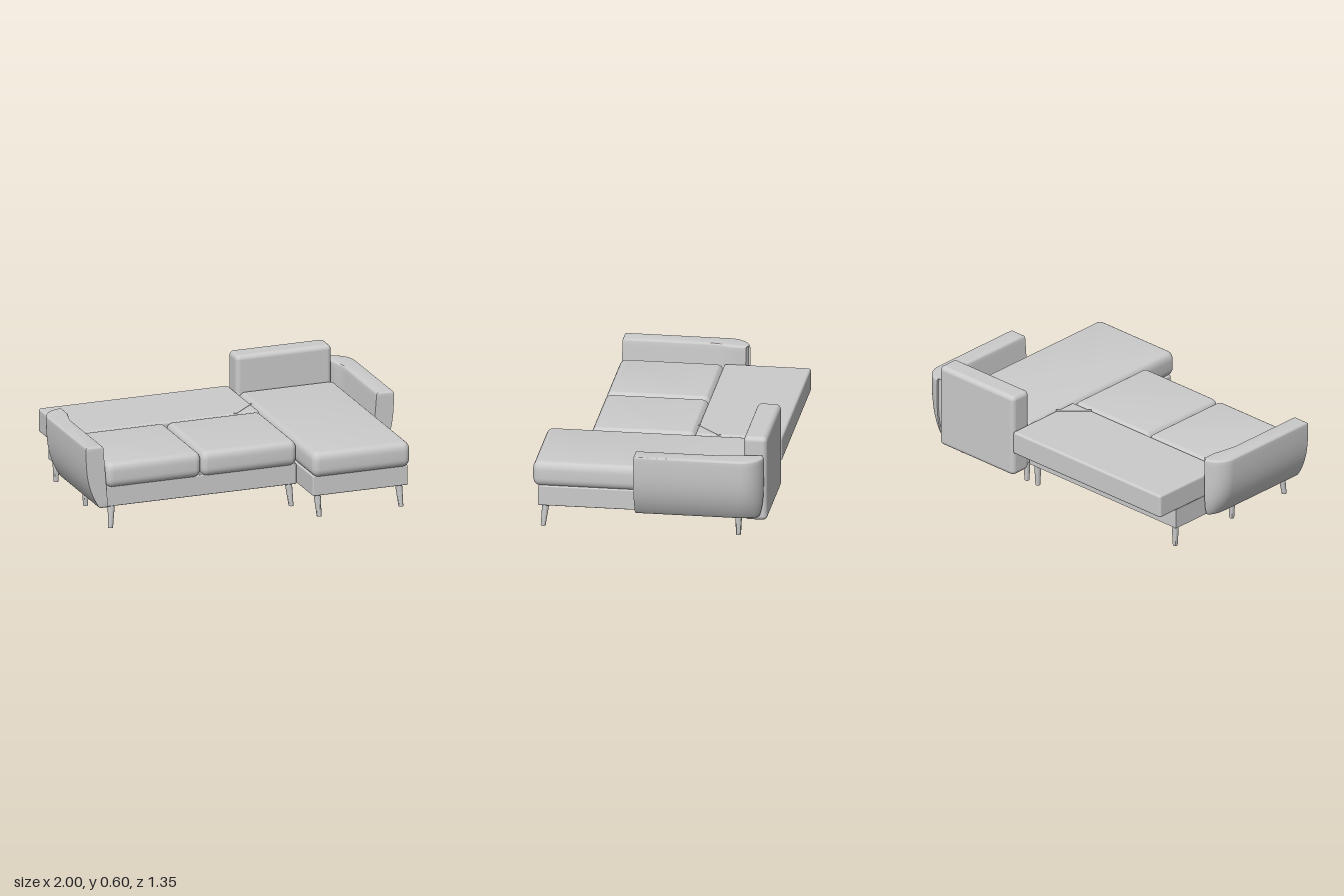
import * as THREE from 'three';
import { toCreasedNormals } from 'three/addons/utils/BufferGeometryUtils.js';
import { RoundedBoxGeometry } from 'three/addons/geometries/RoundedBoxGeometry.js';

const material = new THREE.MeshStandardMaterial({ color: 0xcccccc });

function add(parent, name, geometry) {
  const mesh = new THREE.Mesh(geometry, material);
  mesh.name = name;
  parent.add(mesh);
  return mesh;
}

// Box given by its extents; a radius rounds the edges.
function block(parent, name, [x0, x1], [y0, y1], [z0, z1], radius = 0) {
  const size = [x1 - x0, y1 - y0, z1 - z0];
  const geometry = radius ? new RoundedBoxGeometry(...size, 4, radius) : new THREE.BoxGeometry(...size);
  const mesh = add(parent, name, geometry);
  mesh.position.set((x0 + x1) / 2, (y0 + y1) / 2, (z0 + z1) / 2);
  return mesh;
}

// Soft seat cushion: rounded plan with elliptical top and bottom edges.
function cushion(parent, name, [x0, x1], [y0, y1], [z0, z1]) {
  const inset = 0.035, edge = 0.05, r = 0.006;
  const w = (x1 - x0) / 2 - inset, d = (z1 - z0) / 2 - inset;
  const plan = new THREE.Shape();
  plan.absarc(w - r, d - r, r, 0, Math.PI / 2);
  plan.absarc(r - w, d - r, r, Math.PI / 2, Math.PI);
  plan.absarc(r - w, r - d, r, Math.PI, Math.PI * 1.5);
  plan.absarc(w - r, r - d, r, Math.PI * 1.5, Math.PI * 2);
  plan.closePath();
  const geometry = new THREE.ExtrudeGeometry(plan, {
    depth: y1 - y0 - 2 * edge, bevelSize: inset, bevelThickness: edge, bevelSegments: 7, curveSegments: 5,
  });
  geometry.rotateX(-Math.PI / 2);
  geometry.translate((x0 + x1) / 2, y0 + edge, (z0 + z1) / 2);
  add(parent, name, toCreasedNormals(geometry, 0.8));
}

// Armrest on the +x side: curved back corner, flared outer face, hooked inner back end.
function armGeometry() {
  const b = 0.012, bottom = 0.13, height = 0.37;
  const inner = 0.868 + b, outer = 1 - b, back = -0.66 + b, front = 0.075 - b;
  const corner = 0.115;
  const points = [];
  for (let i = 0; i <= 16; i++) points.push(new THREE.Vector2(inner, -THREE.MathUtils.lerp(back, front, i / 16)));
  points.push(new THREE.Vector2(outer, -front));
  for (let i = 0; i <= 12; i++) {
    const a = (i / 12) * Math.PI / 2;
    points.push(new THREE.Vector2(
      outer - corner + corner * Math.cos(a) * 0.995,
      -(back + corner - corner * Math.sin(a))));
  }
  const geometry = new THREE.ExtrudeGeometry(new THREE.Shape(points), {
    depth: height - 2 * b, steps: 14, bevelSize: b, bevelThickness: b, bevelSegments: 4,
  });
  geometry.rotateX(-Math.PI / 2);
  geometry.translate(0, bottom + b, 0);
  const p = geometry.attributes.position;
  for (let i = 0; i < p.count; i++) {
    const z = p.getZ(i), t = (p.getY(i) - bottom) / height;
    const u = (p.getX(i) - 0.868) / 0.132;
    const x0 = 0.866 + 0.03 * t * THREE.MathUtils.smoothstep(z, -0.57, -0.45);
    const x1 = 1 - 0.085 * Math.pow(1 - t, 3);
    p.setX(i, x0 + u * (x1 - x0));
    // The lower back edge tucks in slightly.
    const k = Math.max(0, (-z - 0.4) / 0.26);
    p.setZ(i, z + 0.03 * k * Math.pow(1 - t, 5));
  }
  return toCreasedNormals(geometry, 0.7);
}

// Tapered leg, its foot shifted outward by a splay.
function leg(parent, name, x, z, splayX = 0, splayZ = 0) {
  const h = 0.14;
  const geometry = new THREE.CylinderGeometry(0.021, 0.014, h, 20);
  geometry.translate(0, h / 2, 0);
  const p = geometry.attributes.position;
  for (let i = 0; i < p.count; i++) {
    const k = 1 - p.getY(i) / h;
    p.setX(i, p.getX(i) + splayX * k);
    p.setZ(i, p.getZ(i) + splayZ * k);
  }
  geometry.computeVertexNormals();
  add(parent, name, toCreasedNormals(geometry, 0.7)).position.set(x, 0, z);
}

export function createModel() {
  const model = new THREE.Group();
  model.name = 'cornerSofaBed';
  const rail = [0.13, 0.25], seat = [0.245, 0.392];

  // Chaise with closed base and tall backrest
  const chaise = new THREE.Group();
  chaise.name = 'chaise';
  block(chaise, 'chaiseBase', [0.29, 0.868], rail, [-0.55, 0.64], 0.008);
  cushion(chaise, 'chaiseCushion', [0.283, 0.876], seat, [-0.545, 0.67]);
  block(chaise, 'chaiseBackrest', [0.28, 0.86], [0.1, 0.602], [-0.672, -0.537], 0.028);

  // Main seat with a hollow frame open underneath
  const sofa = new THREE.Group();
  sofa.name = 'mainSeat';
  block(sofa, 'frontRail', [-0.87, 0.285], rail, [0.365, 0.395], 0.006);
  for (const [name, x] of [['rightSideRail', -0.87], ['leftSideRail', 0.255]])
    block(sofa, name, [x, x + 0.03], rail, [-0.18, 0.37]);
  cushion(sofa, 'rightSeatCushion', [-0.876, -0.298], seat, [-0.18, 0.42]);
  cushion(sofa, 'leftSeatCushion', [-0.298, 0.283], seat, [-0.18, 0.42]);

  // Pull-out bed section behind the seat
  const bed = new THREE.Group();
  bed.name = 'pullOutBed';
  block(bed, 'bedPanel', [-0.873, 0.28], [0.25, 0.39], [-0.675, -0.178], 0.014);
  block(bed, 'bedBackRail', [-0.865, 0.28], rail, [-0.535, -0.475]);
  for (const [name, x] of [['rightBedRail', -0.865], ['leftBedRail', 0.25]])
    block(bed, name, [x, x + 0.03], rail, [-0.48, -0.02]);
  block(bed, 'bedBottomBoard', [-0.835, 0.25], [0.115, 0.13], [-0.475, -0.02]);
  // Pull strap lying across the corner of the panel
  const strap = add(bed, 'pullStrap', new THREE.BoxGeometry(0.2, 0.004, 0.02));
  strap.position.set(0.206, 0.39, -0.25);
  strap.rotation.y = 0.75;

  // Armrests: the second is mirrored and set further forward
  const arm = armGeometry();
  add(model, 'leftArmrest', arm);
  const mirrored = arm.clone();
  mirrored.scale(-1, 1, 1);
  for (const attribute of Object.values(mirrored.attributes)) {
    const n = attribute.itemSize, a = attribute.array;
    for (let i = 0; i < attribute.count; i += 3)
      for (let c = 0; c < n; c++) {
        const j = (i + 1) * n + c;
        [a[j], a[j + n]] = [a[j + n], a[j]];
      }
  }
  add(model, 'rightArmrest', mirrored).position.z = 0.335;

  // Legs: splayed at the front, upright elsewhere
  for (const [x, s] of [[0.33, 0.008], [0.825, 0.01]]) {
    leg(chaise, 'chaiseFrontLeg', x, 0.598, s, 0.015);
    leg(chaise, 'chaiseBackLeg', x, -0.505);
  }
  for (const [x, s] of [[-0.83, -0.01], [0.245, 0.012]]) {
    leg(sofa, 'seatFrontLeg', x, 0.366, s, 0.015);
    leg(sofa, 'seatMiddleLeg', x, -0.04);
    leg(bed, 'bedBackLeg', x, -0.505);
  }

  model.add(chaise, sofa, bed);
  return model;
}
